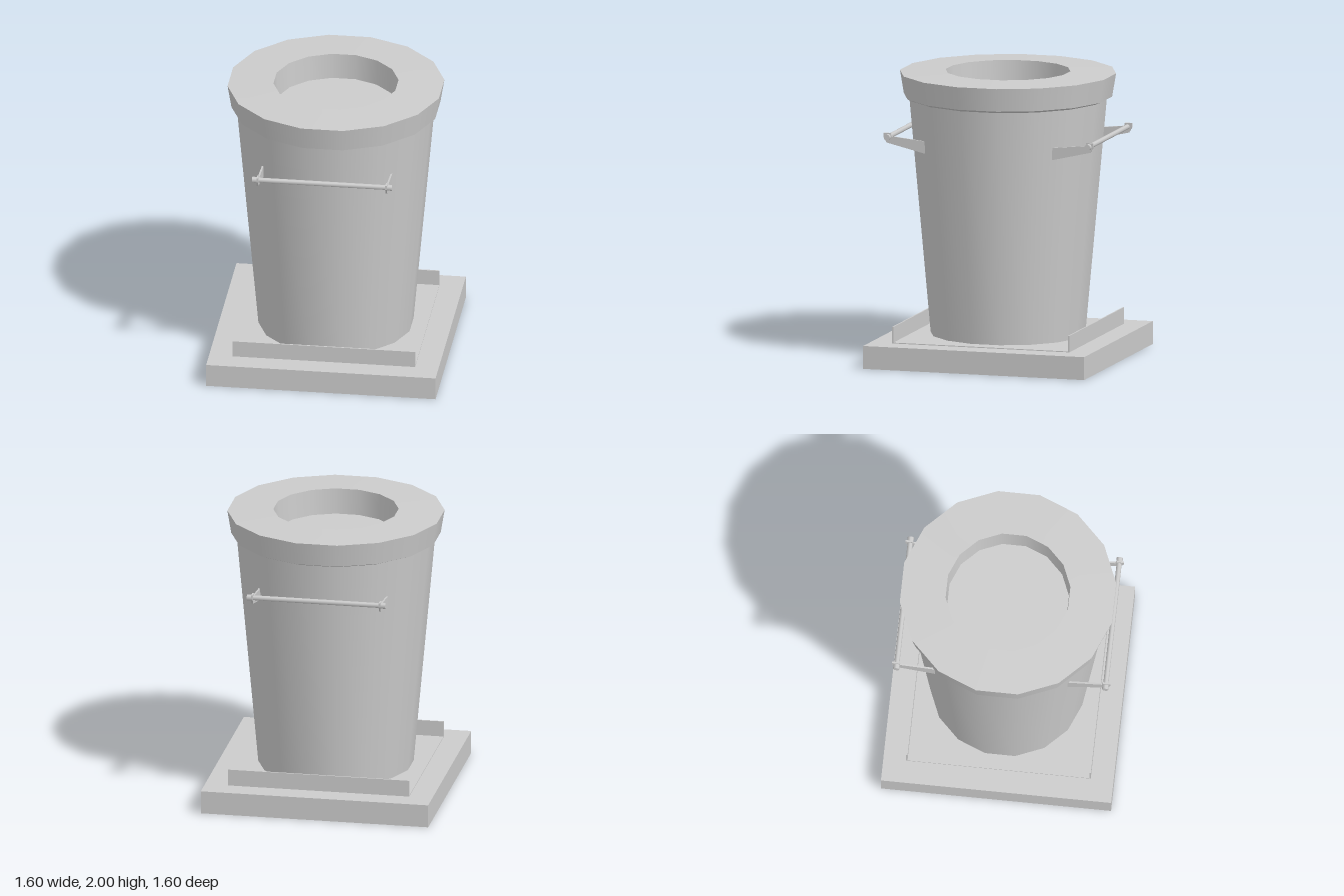
import * as THREE from 'three';

export function createModel() {
  const model = new THREE.Group();
  const material = new THREE.MeshStandardMaterial({ color: 0xcccccc, side: THREE.DoubleSide });
  const SIDES = 16;

  const add = (parent, name, geometry, x = 0, y = 0, z = 0) => {
    const mesh = new THREE.Mesh(geometry, material);
    mesh.name = name;
    mesh.position.set(x, y, z);
    parent.add(mesh);
    return mesh;
  };

  // One smooth ring per profile segment keeps the rims between them sharp
  const turned = (name, profile) => {
    const group = new THREE.Group();
    group.name = name;
    for (let i = 0; i < profile.length - 1; i++) {
      const points = [profile[i], profile[i + 1]].map(([r, y]) => new THREE.Vector2(r, y));
      add(group, name + 'Ring', new THREE.LatheGeometry(points, SIDES, Math.PI / SIDES));
    }
    model.add(group);
  };

  // Square slab and the shallow tray on it, folded up at front and back
  add(model, 'baseSlab', new THREE.BoxGeometry(1.595, 0.16, 1.595), 0, 0.08, 0);
  add(model, 'trayFloor', new THREE.BoxGeometry(1.27, 0.006, 1.27), 0, 0.163, 0);
  for (const s of [1, -1]) {
    add(model, 'trayWall', new THREE.BoxGeometry(1.27, 0.115, 0.01), 0, 0.2175, s * 0.635);
  }

  // Tapered body, then the lid with a recessed round opening
  turned('body', [[0, 0.166], [0.536, 0.166], [0.685, 1.815]]);
  turned('lid', [[0.68, 1.81], [0.722, 1.828], [0.749, 1.99], [0.432, 2], [0.422, 1.82], [0, 1.82]]);

  // Bracket outline in the side plane: outward distance, height
  const bracketShape = new THREE.Shape([
    [0.459, 1.465], [0.735, 1.53], [0.756, 1.566], [0.756, 1.597],
    [0.706, 1.597], [0.7, 1.575], [0.459, 1.55],
  ].map(([z, y]) => new THREE.Vector2(z, y)));
  const bracketGeometry = new THREE.ExtrudeGeometry(bracketShape, { depth: 0.012, bevelEnabled: false });
  bracketGeometry.translate(0, 0, -0.006).rotateY(-Math.PI / 2);
  const barGeometry = new THREE.CylinderGeometry(0.018, 0.018, 0.97, 8).rotateZ(Math.PI / 2);
  const hubGeometry = new THREE.CylinderGeometry(0.022, 0.022, 0.036, 8).rotateZ(Math.PI / 2);

  // Matching grab handles on the front and back
  for (const turn of [0, Math.PI]) {
    const handle = new THREE.Group();
    handle.name = turn ? 'backHandle' : 'frontHandle';
    add(handle, 'handleBar', barGeometry, 0, 1.57, 0.724);
    for (const s of [1, -1]) {
      add(handle, 'handleBracket', bracketGeometry, s * 0.448);
      add(handle, 'handleEnd', hubGeometry, s * 0.468, 1.57, 0.724);
    }
    handle.rotation.y = turn;
    model.add(handle);
  }

  return model;
}
